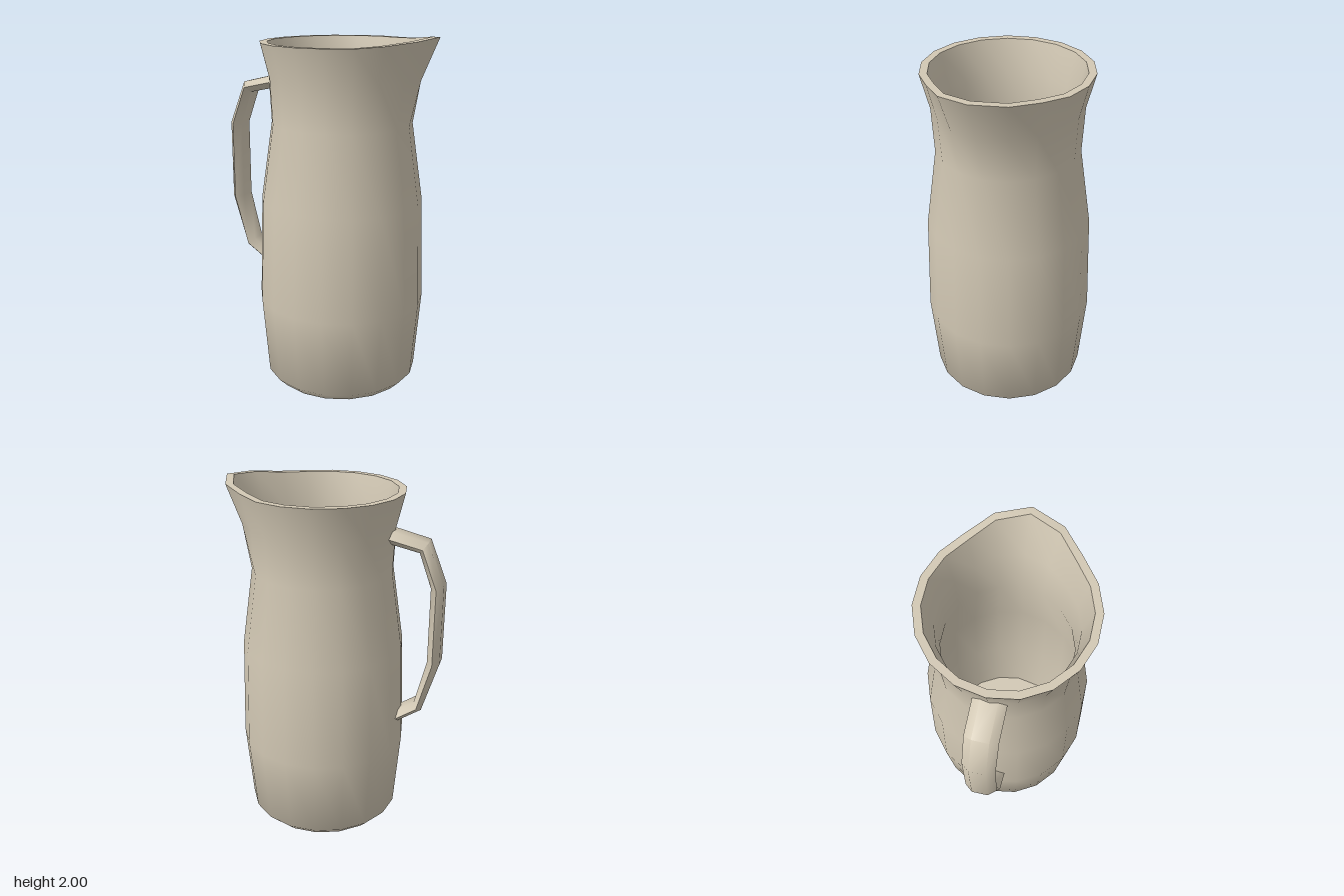
import * as THREE from 'three';
import { toCreasedNormals } from 'three/addons/utils/BufferGeometryUtils.js';

const SIDES = 18;
const CREASE = 1.0;
const BODY_X = 0.065;

// Jug wall as one closed profile: [radius, height, spout amount]
const profile = [
  [0, 0, 0], [0.39, 0, 0], [0.44, 0.05, 0], [0.477, 0.5, 0], [0.458, 1.08, 0],
  [0.393, 1.52, 0], [0.405, 1.77, 0.48], [0.452, 1.96, 1],
  [0.41, 1.96, 1], [0.365, 1.77, 0.48], [0.353, 1.52, 0], [0.417, 1.08, 0],
  [0.436, 0.5, 0], [0.4, 0.05, 0], [0, 0.05, 0],
];

function bodyGeometry() {
  const points = profile.map(([r, y]) => new THREE.Vector2(r, y));
  const geo = new THREE.LatheGeometry(points, SIDES, Math.PI / 2);
  const pos = geo.attributes.position;
  // Pull the rim out and up around +x to form the spout
  const push = [0.095, 0.06, 0.005];
  const lift = [0.04, 0.026, 0.008];
  for (let i = 0; i < pos.count; i++) {
    const [r, y, amount] = profile[i % profile.length];
    const seg = Math.floor(i / profile.length) % SIDES;
    const step = Math.min(seg, SIDES - seg);
    const angle = (seg / SIDES) * Math.PI * 2;
    const radius = r + amount * (push[step] ?? 0);
    const rise = amount === 1 ? (lift[step] ?? 0) : 0;
    pos.setXYZ(i, BODY_X + radius * Math.cos(angle), y + rise, -radius * Math.sin(angle));
  }
  return toCreasedNormals(geo, CREASE);
}

// Handle stations, top to bottom: outer x, y and inner x, y
const stations = [
  [-0.315, 1.768, -0.312, 1.697],
  [-0.525, 1.717, -0.482, 1.66],
  [-0.62, 1.475, -0.55, 1.47],
  [-0.62, 1.03, -0.55, 1.035],
  [-0.53, 0.73, -0.485, 0.77],
  [-0.39, 0.635, -0.38, 0.7],
];

function handleGeometry() {
  const pos = [];
  const index = [];
  const flat = 0.045;
  const wide = 0.088;
  // Flattened hexagon at every station
  for (const [ox, oy, ix, iy] of stations) {
    const mx = (ox + ix) / 2;
    const my = (oy + iy) / 2;
    pos.push(ox, oy, flat, mx, my, wide, ix, iy, flat);
    pos.push(ix, iy, -flat, mx, my, -wide, ox, oy, -flat);
  }
  for (let s = 0; s < stations.length - 1; s++) {
    for (let k = 0; k < 6; k++) {
      const a = s * 6 + k;
      const b = s * 6 + ((k + 1) % 6);
      index.push(a, a + 6, b, b, a + 6, b + 6);
    }
  }
  // End caps
  const last = (stations.length - 1) * 6;
  for (let k = 1; k < 5; k++) {
    index.push(0, k, k + 1, last, last + k + 1, last + k);
  }
  const geo = new THREE.BufferGeometry();
  geo.setAttribute('position', new THREE.Float32BufferAttribute(pos, 3));
  geo.setIndex(index);
  return toCreasedNormals(geo, CREASE);
}

export function createModel() {
  const ceramic = new THREE.MeshStandardMaterial({ color: 0xd2c8b4 });
  ceramic.name = 'creamCeramic';

  const group = new THREE.Group();
  group.name = 'pitcher';

  const body = new THREE.Mesh(bodyGeometry(), ceramic);
  body.name = 'body';
  const handle = new THREE.Mesh(handleGeometry(), ceramic);
  handle.name = 'handle';
  group.add(body, handle);
  return group;
}
